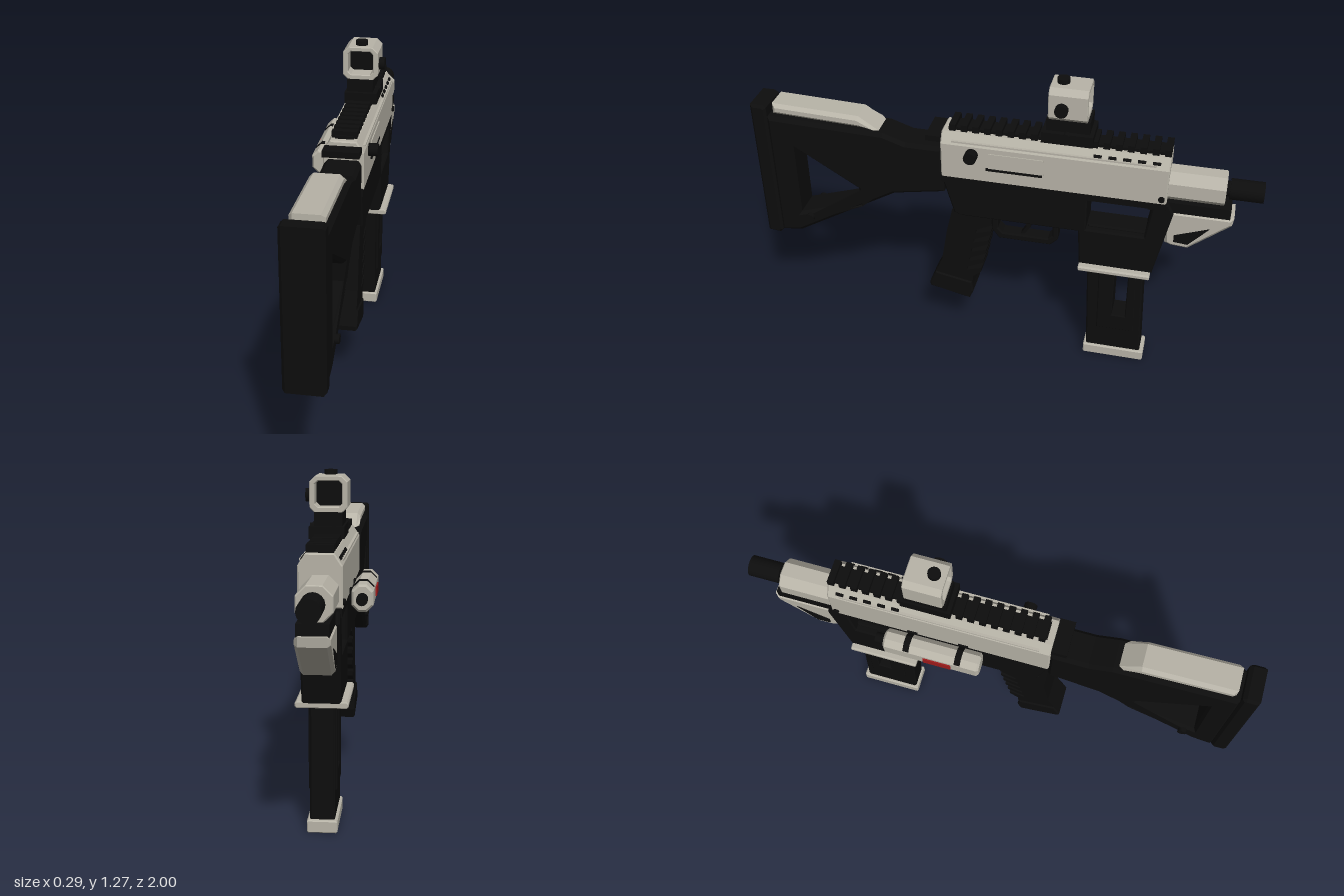
import * as THREE from 'three';

const CX = 0.03; // centre plane of the main body
const mat = (name, color) => Object.assign(new THREE.MeshStandardMaterial({ color }), { name });

export function createModel() {
  const root = new THREE.Group();
  root.name = 'toyBlaster';
  const light = mat('warmGrey', 0xb8b4a8);
  const black = mat('black', 0x0d0d0d);
  const red = mat('red', 0xa01c1c);

  const add = (name, geo, material) => {
    const m = new THREE.Mesh(geo, material);
    m.name = name;
    root.add(m);
    return m;
  };
  // box from its bounds on each axis
  const box = (name, material, [x0, x1], [y0, y1], [z0, z1]) =>
    add(name, new THREE.BoxGeometry(x1 - x0, y1 - y0, Math.abs(z1 - z0))
      .translate((x0 + x1) / 2, (y0 + y1) / 2, (z0 + z1) / 2), material);
  const extrude = (shape, depth, bevel) => new THREE.ExtrudeGeometry(shape, {
    depth: depth - 2 * bevel, bevelEnabled: bevel > 0, bevelThickness: bevel,
    bevelSize: bevel, bevelOffset: -bevel, bevelSegments: 1, curveSegments: 6,
  }).translate(0, 0, bevel);
  // side profile of [z, y] points, extruded across x
  const side = (name, material, pts, x0, x1, bevel = 0, holes = []) => {
    const v = (list) => list.map(([z, y]) => new THREE.Vector2(-z, y));
    const shape = new THREE.Shape(v(pts));
    holes.forEach((h) => shape.holes.push(new THREE.Path(v(h))));
    return add(name, extrude(shape, x1 - x0, bevel).rotateY(Math.PI / 2).translate(x0, 0, 0), material);
  };
  // cross-section of [x, y] points, extruded from z0 (rear) to z1 (front)
  const along = (name, material, pts, z0, z1, bevel = 0, hole = null) => {
    const v = (list) => list.map(([x, y]) => new THREE.Vector2(x, y));
    const shape = new THREE.Shape(v(pts));
    if (hole) shape.holes.push(new THREE.Path(v(hole)));
    return add(name, extrude(shape, z0 - z1, bevel).translate(0, 0, z1), material);
  };
  // rectangle with cut corners
  const cut = (x0, x1, y0, y1, c) => [[x0 + c, y0], [x1 - c, y0], [x1, y0 + c], [x1, y1 - c],
    [x1 - c, y1], [x0 + c, y1], [x0, y1 - c], [x0, y0 + c]];
  // cylinder along an axis
  const rod = (name, material, axis, r, len, x, y, z, sides = 16) => {
    const g = new THREE.CylinderGeometry(r, r, len, sides);
    if (axis === 'x') g.rotateZ(Math.PI / 2);
    if (axis === 'z') g.rotateX(Math.PI / 2);
    return add(name, g.translate(x, y, z), material);
  };

  // Stock
  side('buttPlate', black, [[1, 0.43], [0.95, 0.425], [0.935, 0.44], [0.935, 1.03], [0.95, 1.04], [1, 1.04]],
    -0.045, 0.105, 0.01);
  side('stock', black, [[0.94, 0.435], [0.85, 0.45], [0.43, 0.7], [0.22, 0.74], [0.22, 0.945], [0.37, 0.945],
    [0.46, 0.975], [0.94, 0.99]], -0.04, 0.1, 0.014,
  [[[0.843, 0.864], [0.58, 0.7], [0.58, 0.63], [0.843, 0.543]]]);
  side('cheekPad', light, [[0.915, 1.0], [0.915, 1.045], [0.56, 1.032], [0.48, 0.978], [0.56, 0.985]],
    -0.03, 0.09, 0.014);
  rod('stockPin', black, 'x', 0.018, 0.17, CX, 0.53, 0.8);
  box('rearCatch', black, [-0.04, 0.1], [0.975, 1.0], [0.225, 0.285]);

  // Upper receiver
  along('upperReceiver', light, [[-0.048, 0.828], [0.108, 0.828], [0.108, 0.975], [0.08, 1.018],
    [-0.02, 1.018], [-0.048, 0.975]], 0.225, -0.65, 0.005);
  box('receiverSkirt', black, [-0.045, 0.105], [0.798, 0.83], [0.225, -0.65]);
  for (const s of [-1, 1]) {
    box('receiverRidge', light, s < 0 ? [-0.047, -0.036] : [0.096, 0.107], [0.985, 0.992], [0.18, -0.6]);
    for (let i = 0; i < 5; i++) {
      const slot = add('ventSlot', new THREE.BoxGeometry(0.006, 0.012, 0.03), black);
      slot.position.set(CX + s * 0.066, 0.996, -0.38 - i * 0.055);
      slot.rotation.z = s * 0.577;
    }
    rod('frontPin', black, 'x', 0.012, 0.012, CX + s * 0.08, 0.85, -0.63, 10);
  }
  box('ejectionPort', light, [0.1, 0.112], [0.89, 0.955], [0.035, -0.18]);
  box('ejectionSlot', black, [0.1, 0.114], [0.88, 0.89], [0.045, -0.175]);
  rod('chargingKnob', black, 'x', 0.025, 0.045, 0.123, 0.943, 0.1);

  // Top rail with teeth
  box('railBase', black, [-0.005, 0.065], [1.01, 1.03], [0.2, -0.63]);
  for (let i = 0; i < 19; i++) {
    const z = 0.195 - i * 0.0455;
    box('railTooth', black, [-0.018, 0.078], [1.02, 1.047], [z, z - 0.025]);
  }

  // Sight
  box('sightClamp', black, [-0.03, 0.1], [1.03, 1.075], [-0.165, -0.36]);
  box('sightRiser', black, [-0.022, 0.082], [1.075, 1.125], [-0.18, -0.345]);
  rod('clampKnob', black, 'x', 0.014, 0.03, 0.09, 1.065, -0.26, 10);
  along('sightHousing', light, cut(-0.04, 0.1, 1.12, 1.256, 0.022), -0.188, -0.335, 0.003,
    cut(-0.02, 0.08, 1.143, 1.238, 0.012));
  box('sightLens', black, [-0.021, 0.081], [1.142, 1.239], [-0.258, -0.265]);
  rod('sideDial', black, 'x', 0.025, 0.025, 0.11, 1.18, -0.24);
  rod('topDial', black, 'y', 0.024, 0.024, CX, 1.262, -0.232);

  // Barrel
  along('barrelShroud', light, cut(-0.035, 0.09, 0.82, 0.945, 0.035), -0.64, -0.862, 0.004);
  rod('barrel', black, 'z', 0.03, 0.08, CX, 0.885, -0.89);
  rod('muzzle', black, 'z', 0.041, 0.125, CX, 0.885, -0.9375);
  box('lowerRail', black, [-0.025, 0.085], [0.78, 0.825], [-0.58, -0.89]);

  // Angled foregrip with dark inset panels
  side('foregrip', light, [[-0.645, 0.785], [-0.655, 0.635], [-0.68, 0.625], [-0.745, 0.62], [-0.9, 0.75],
    [-0.905, 0.785]], -0.03, 0.09, 0.012);
  const inset = [[-0.69, 0.68], [-0.69, 0.65], [-0.745, 0.645], [-0.82, 0.73]];
  side('foregripPanel', black, inset, 0.087, 0.093);
  side('foregripPanel', black, inset, -0.033, -0.027);

  // Lower receiver, trigger and guard
  side('lowerReceiver', black, [[0.225, 0.81], [0.18, 0.65], [0.15, 0.64], [-0.35, 0.64], [-0.35, 0.81]],
    -0.04, 0.1, 0.008);
  side('triggerGuard', black, [[0.035, 0.645], [0.035, 0.565], [0.005, 0.525], [-0.205, 0.525], [-0.235, 0.555],
    [-0.235, 0.645]], 0.0, 0.06, 0.005,
  [[[0.01, 0.632], [0.01, 0.575], [-0.01, 0.553], [-0.195, 0.553], [-0.213, 0.57], [-0.213, 0.632]]]);
  side('trigger', black, [[-0.09, 0.65], [-0.105, 0.59], [-0.08, 0.55], [-0.095, 0.55], [-0.122, 0.59],
    [-0.122, 0.65]], 0.015, 0.045);

  // Pistol grip with finger grooves cut up its front edge
  const grip = [[0.19, 0.66], [0.215, 0.55], [0.24, 0.4], [0.295, 0.27], [0.29, 0.25], [0.125, 0.215],
    [0.115, 0.245], [0.11, 0.33]];
  for (let i = 0; i < 5; i++) {
    const y = 0.35 + i * 0.049, z = 0.075 - i * 0.01;
    grip.push([z, y + 0.01], [z - 0.003, y + 0.03], [z + 0.06, y + 0.01], [z + 0.06, y + 0.025]);
  }
  grip.push([0.03, 0.605], [0.025, 0.66]);
  side('pistolGrip', black, grip, -0.03, 0.09);
  side('gripFoot', black, [[0.27, 0.33], [0.297, 0.27], [0.295, 0.25], [0.125, 0.212], [0.11, 0.25],
    [0.115, 0.3]], -0.036, 0.096, 0.006);

  // Open magazine well
  side('magazineWell', black, [[-0.31, 0.82], [-0.33, 0.485], [-0.62, 0.485], [-0.68, 0.78], [-0.66, 0.82]],
    -0.04, 0.1, 0.006, [[[-0.35, 0.8], [-0.35, 0.655], [-0.578, 0.655], [-0.6, 0.8]]]);
  box('magazineCatch', light, [0.0, 0.06], [0.77, 0.805], [-0.345, -0.405]);
  along('wellFlange', light, cut(-0.065, 0.125, 0.465, 0.488, 0.006), -0.33, -0.615, 0.003);

  // Magazine with a see-through window
  const windowHole = [[-0.475, 0.47], [-0.475, 0.225], [-0.53, 0.225], [-0.53, 0.47]];
  side('magazine', black, [[-0.355, 0.665], [-0.375, 0.04], [-0.602, 0.04], [-0.58, 0.665]],
    -0.015, 0.075, 0.006, [windowHole]);
  side('magazineSleeve', black, [[-0.41, 0.48], [-0.415, 0.15], [-0.57, 0.15], [-0.56, 0.48]],
    -0.022, 0.082, 0.004, [windowHole]);
  along('magazineBase', light, cut(-0.025, 0.085, 0, 0.047, 0.005), -0.365, -0.617, 0.004);

  // Side-mounted pointer
  along('pointerBody', light, cut(-0.14, -0.06, 0.772, 0.872, 0.024), 0.03 - 0.06, -0.415, 0.008);
  for (const z of [-0.115, -0.32]) {
    along('pointerBand', black, cut(-0.138, -0.058, 0.768, 0.876, 0.024), z + 0.012, z - 0.012);
    box('pointerMount', black, [-0.065, -0.04], [0.8, 0.845], [z + 0.02, z - 0.02]);
  }
  rod('pointerTip', black, 'z', 0.021, 0.045, -0.1, 0.822, -0.43);
  box('pointerPanel', red, [-0.145, -0.139], [0.803, 0.838], [-0.14, -0.25]);

  return root;
}
